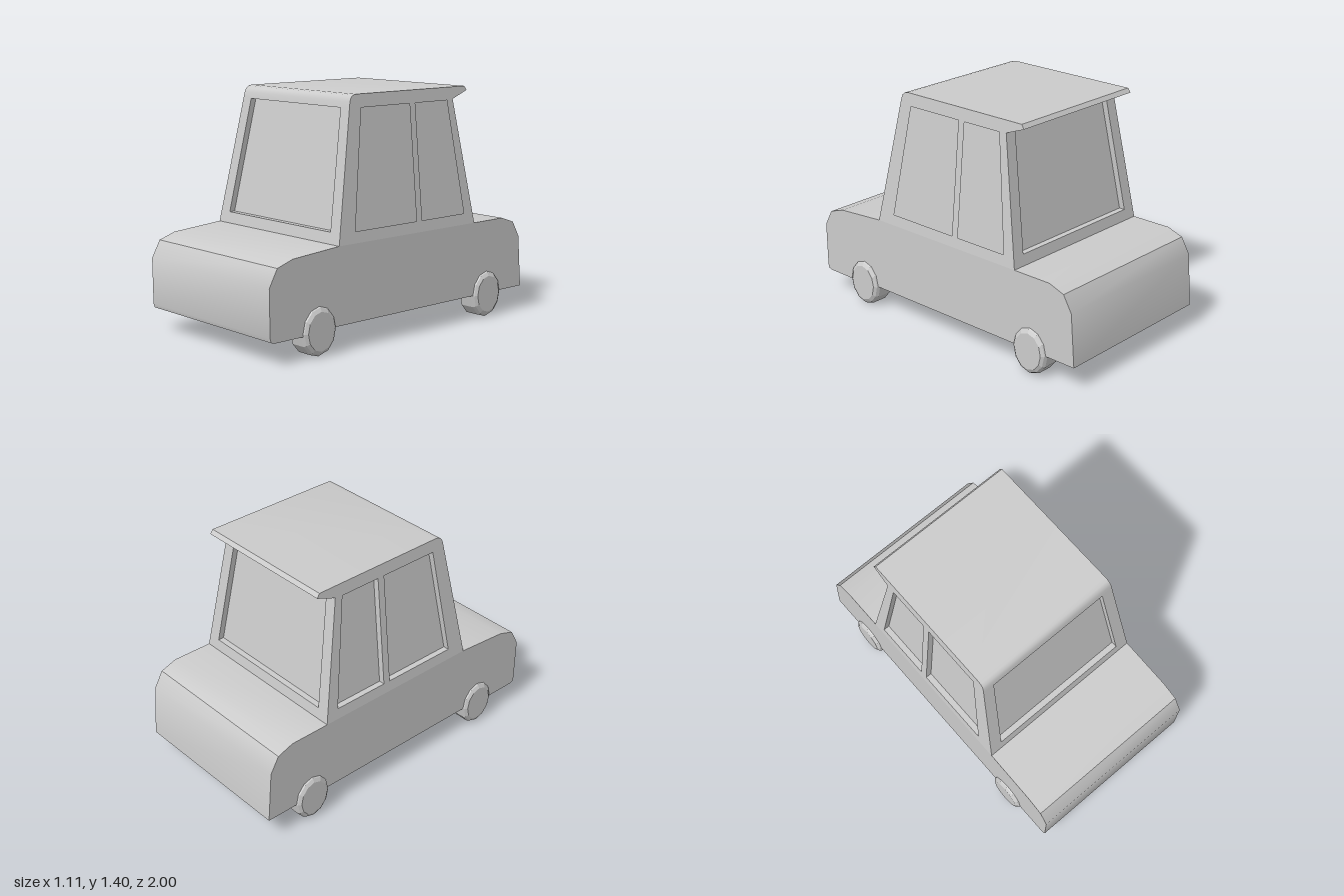
import * as THREE from 'three';
import { toCreasedNormals } from 'three/addons/utils/BufferGeometryUtils.js';

const BASE = 0.59, TOP = 1.33, DEPTH = 0.038;
// Outer planes of the tapering cabin as functions of height
const sideX = (y) => 0.535 - (y - BASE) * 0.0955;
const frontZ = (y) => 0.51 - (y - BASE) * 0.188;
const backZ = (y) => 0.57 - (y - BASE) * 0.169;

const material = new THREE.MeshStandardMaterial({ color: 0xcccccc });

function addMesh(parent, name, geometry, mat = material) {
  const mesh = new THREE.Mesh(geometry, mat);
  mesh.name = name;
  parent.add(mesh);
  return mesh;
}

function toShape(points) {
  return new THREE.Shape(points.map(([a, b]) => new THREE.Vector2(a, b)));
}

// Move every vertex by rule (a, y, d) -> [x, y, z]
function remap(geometry, rule) {
  const p = geometry.attributes.position;
  for (let i = 0; i < p.count; i++) {
    p.setXYZ(i, ...rule(p.getX(i), p.getY(i), p.getZ(i)));
  }
  return toCreasedNormals(geometry, 0.58);
}

// Solid made from a (z, y) side profile, spanning the width given by halfWidth(y)
function profileSolid(points, halfWidth) {
  const shape = toShape(points.map(([z, y]) => [-z, y]));
  const geometry = new THREE.ExtrudeGeometry(shape, { depth: 1, bevelEnabled: false });
  return remap(geometry, (a, y, d) => [(2 * d - 1) * halfWidth(y), y, -a]);
}

// Sloped wall with window openings; rule places the (a, y) outline in space
function wall(outline, holes, rule) {
  const shape = toShape(outline);
  shape.holes = holes.map(toShape);
  const geometry = new THREE.ExtrudeGeometry(shape, { depth: DEPTH, bevelEnabled: false });
  return remap(geometry, (a, y, d) => rule(a, y, d - DEPTH));
}

export function createModel() {
  const car = new THREE.Group();
  car.name = 'car';

  // Lower body with rounded hood and trunk
  addMesh(car, 'lowerBody', profileSolid([
    [0.77, 0.13], [0.97, 0.13], [0.99, 0.137], [0.997, 0.16], [1, 0.43],
    [0.945, 0.53], [0.84, 0.565], [0.51, BASE], [-0.57, BASE], [-0.82, BASE],
    [-0.92, 0.555], [-0.975, 0.46], [-1, 0.145], [0.75, 0.145],
  ], () => 0.535));

  const cabin = new THREE.Group();
  cabin.name = 'cabin';
  car.add(cabin);

  // Roof with rounded front edge and rear spoiler
  addMesh(cabin, 'roof', profileSolid([
    [frontZ(TOP), TOP], [0.365, 1.36], [0.356, 1.382], [0.34, 1.395], [0.315, 1.4],
    [-0.55, 1.4], [-0.567, 1.375], [-backZ(TOP), TOP],
  ], sideX));

  // Glass core seen through the window openings
  addMesh(cabin, 'windowGlass', profileSolid([
    [frontZ(BASE) - 0.036, BASE], [frontZ(TOP) - 0.036, TOP],
    [0.036 - backZ(TOP), TOP], [0.036 - backZ(BASE), BASE],
  ], (y) => sideX(y) - 0.036));

  // Side walls, two windows each
  const sideWindows = [
    [[0.385, 0.655], [0.285, 1.325], [-0.09, 1.325], [-0.09, 0.655]],
    [[-0.135, 0.655], [-0.135, 1.325], [-0.395, 1.325], [-0.485, 0.655]],
  ];
  const sideOutline = [
    [frontZ(BASE), BASE], [frontZ(TOP), TOP], [-backZ(TOP), TOP], [-backZ(BASE), BASE],
  ];
  for (const s of [1, -1]) {
    const flip = (points) => points.map(([z, y]) => [-s * z, y]);
    addMesh(cabin, s > 0 ? 'leftWall' : 'rightWall', wall(
      flip(sideOutline), sideWindows.map(flip),
      (a, y, d) => [s * (sideX(y) + d), y, -s * a],
    ));
  }

  // Windscreen and rear window frames, fitted between the side walls
  const w0 = sideX(BASE) - DEPTH, w1 = sideX(TOP) - DEPTH;
  const endOutline = [[-w0, BASE], [w0, BASE], [w1, TOP], [-w1, TOP]];
  const endWindow = [[-0.45, 0.655], [0.45, 0.655], [0.393, 1.325], [-0.393, 1.325]];
  for (const s of [1, -1]) {
    const plane = s > 0 ? frontZ : backZ;
    addMesh(cabin, s > 0 ? 'windscreenFrame' : 'rearWindowFrame', wall(
      endOutline, [endWindow], (a, y, d) => [s * a, y, s * (plane(y) + d)],
    ));
  }

  // Wheels and axles, slightly taller than long
  const wheelMaterial = new THREE.MeshStandardMaterial({ color: 0xcccccc, flatShading: true });
  const wheelProfile = [[0, 0.435], [0.143, 0.435], [0.143, 0.525], [0.132, 0.543], [0.111, 0.555], [0, 0.555]]
    .map(([r, h]) => new THREE.Vector2(r, h));
  for (const [name, z] of [['front', 0.655], ['rear', -0.685]]) {
    const axleGroup = new THREE.Group();
    axleGroup.name = name + 'Axle';
    axleGroup.position.set(0, 0.143, z);
    axleGroup.scale.z = 0.85;
    car.add(axleGroup);
    const rod = addMesh(axleGroup, name + 'AxleRod', new THREE.CylinderGeometry(0.048, 0.048, 0.9, 12));
    rod.rotation.z = Math.PI / 2;
    for (const s of [1, -1]) {
      const wheel = addMesh(axleGroup, name + (s > 0 ? 'Left' : 'Right') + 'Wheel',
        new THREE.LatheGeometry(wheelProfile, 12), wheelMaterial);
      wheel.rotation.z = -s * Math.PI / 2;
    }
  }
  return car;
}
